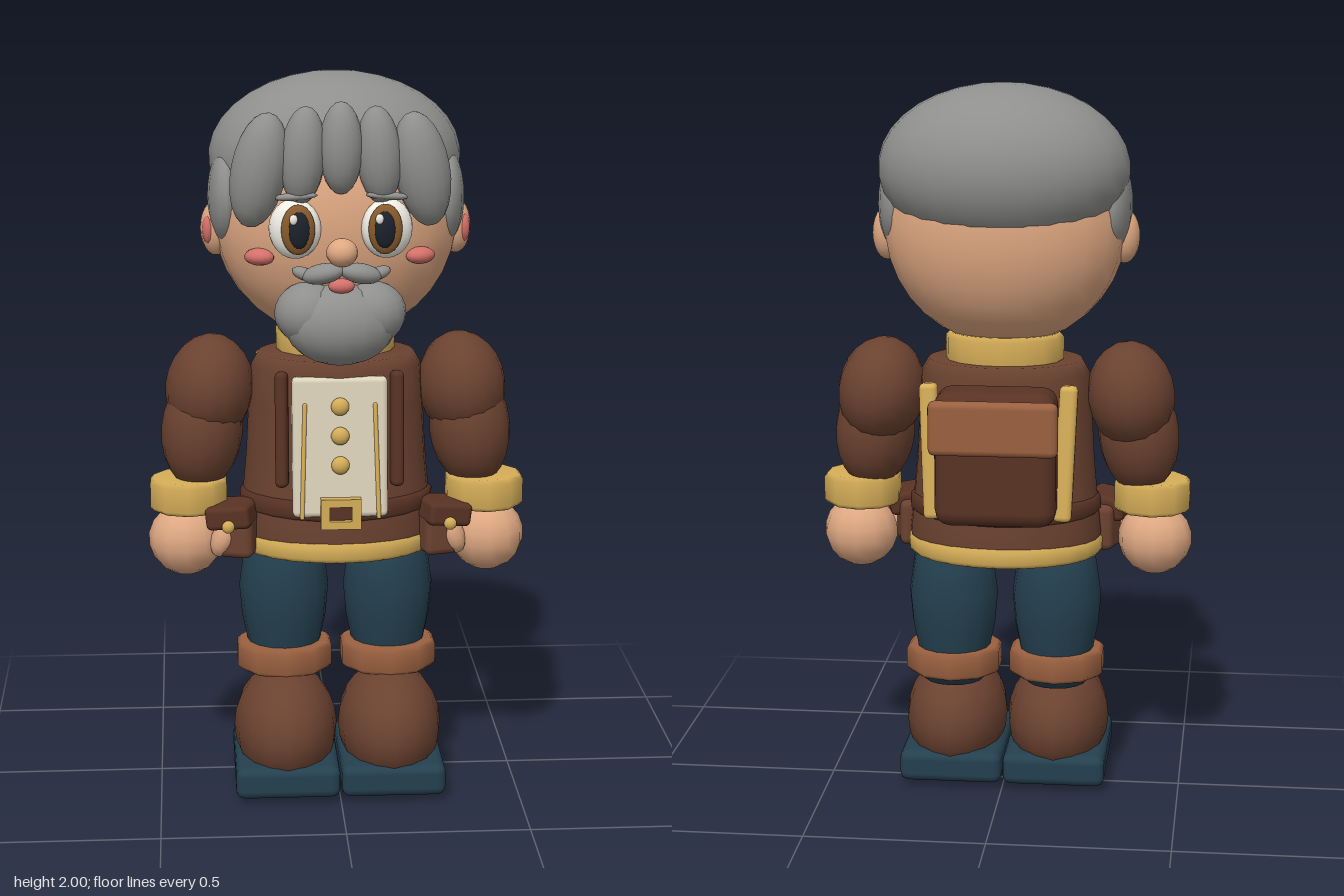
import * as THREE from 'three';
import { RoundedBoxGeometry } from 'three/addons/geometries/RoundedBoxGeometry.js';

const mat = (color) => new THREE.MeshStandardMaterial({ color });
const M = {
  skin: mat(0xdfa882), hair: mat(0x8f8f8d), brown: mat(0x6b4230), dark: mat(0x593324),
  tan: mat(0x9a6040), gold: mat(0xd6ae58), blue: mat(0x24404f), cream: mat(0xdcd3bb),
  pink: mat(0xd4706a), white: mat(0xf2efe6), iris: mat(0x8a5c2c), pupil: mat(0x1c222c),
};

export function createModel() {
  const model = new THREE.Group();

  const add = (name, geo, m, p, rot = [0, 0, 0]) => {
    const mesh = new THREE.Mesh(geo, M[m]);
    mesh.name = name;
    mesh.position.set(...p);
    mesh.rotation.set(...rot);
    model.add(mesh);
    return mesh;
  };
  // ellipsoid with radii r
  const blob = (name, m, p, r, rot, seg = 16) =>
    add(name, new THREE.SphereGeometry(1, seg, Math.ceil(seg * 0.7)).scale(...r), m, p, rot);
  const box = (name, m, p, s, rot, radius = 0.015) =>
    add(name, new RoundedBoxGeometry(...s, 2, Math.min(radius, Math.min(...s) * 0.45)), m, p, rot);
  // lathe from [radius, y] pairs, flattened along z
  const turned = (name, m, p, pts, depth = 1, seg = 20) =>
    add(name, new THREE.LatheGeometry(pts.map(([x, y]) => new THREE.Vector2(x, y)), seg).scale(1, 1, depth), m, p);
  // closed band with small bevels
  const band = (name, m, p, r, h, depth = 1, seg = 12) => {
    const b = 0.012;
    return turned(name, m, p, [[0, -h / 2], [r - b, -h / 2], [r, -h / 2 + b], [r, h / 2 - b], [r - b, h / 2], [0, h / 2]], depth, seg);
  };

  // Head and hair
  blob('head', 'skin', [0, 1.61, 0.01], [0.335, 0.335, 0.25], undefined, 24);
  blob('hairCap', 'hair', [0, 1.77, -0.03], [0.345, 0.23, 0.258], undefined, 24);
  blob('centreFringe', 'hair', [0, 1.825, 0.25], [0.058, 0.122, 0.06]);
  blob('nose', 'skin', [0, 1.555, 0.292], [0.042, 0.038, 0.042]);
  blob('mouth', 'pink', [0, 1.462, 0.272], [0.035, 0.02, 0.02]);
  blob('beard', 'hair', [0, 1.35, 0.23], [0.15, 0.11, 0.1]);

  // Torso
  turned('tunic', 'brown', [0, 0, 0.02], [
    [0, 0.69], [0.262, 0.69], [0.27, 0.74], [0.262, 0.82], [0.25, 0.95],
    [0.242, 1.1], [0.235, 1.2], [0.215, 1.235], [0, 1.24]], 0.76, 24);
  band('tunicHem', 'gold', [0, 0.708, 0.02], 0.274, 0.055, 0.78, 24);
  band('belt', 'dark', [0, 0.825, 0.02], 0.269, 0.055, 0.78, 24);
  band('collar', 'gold', [0, 1.27, 0], 0.165, 0.085, 0.74, 16);

  // Shirt front, leaning outwards to the belt
  const lean = -0.1;
  const frontZ = (y) => 0.212 + (1.005 - y) * 0.1;
  box('shirtFront', 'cream', [0, 1.005, 0.2], [0.26, 0.385, 0.045], [lean, 0, 0]);
  for (const y of [1.12, 1.04, 0.96]) blob('button', 'gold', [0, y, frontZ(y) + 0.014], [0.025, 0.025, 0.018], undefined, 12);
  const frame = new THREE.Shape();
  frame.moveTo(-0.055, -0.042).lineTo(0.055, -0.042).lineTo(0.055, 0.042).lineTo(-0.055, 0.042);
  const hole = new THREE.Path();
  hole.moveTo(-0.03, -0.02).lineTo(-0.03, 0.02).lineTo(0.03, 0.02).lineTo(0.03, -0.02);
  frame.holes.push(hole);
  add('buckle', new THREE.ExtrudeGeometry(frame, { depth: 0.025, bevelEnabled: false }), 'gold', [0, 0.83, 0.237]);
  box('buckleCentre', 'dark', [0, 0.83, 0.235], [0.08, 0.055, 0.025]);

  // Backpack
  box('backpack', 'dark', [0, 1.01, -0.225], [0.33, 0.375, 0.155], undefined, 0.045);
  box('backpackFlap', 'tan', [0, 1.105, -0.315], [0.35, 0.15, 0.042], undefined, 0.02);

  for (const s of [1, -1]) {
    const side = s > 0 ? 'left' : 'right';
    const part = (n) => side + n;

    // Hair locks, ears
    blob(part('InnerFringe'), 'hair', [s * 0.1, 1.805, 0.243], [0.06, 0.13, 0.06], [0, 0, s * 0.08]);
    blob(part('OuterFringe'), 'hair', [s * 0.215, 1.765, 0.225], [0.075, 0.155, 0.07], [0, s * 0.3, s * 0.2]);
    blob(part('Sideburn'), 'hair', [s * 0.3, 1.665, 0.02], [0.05, 0.13, 0.125]);
    blob(part('Ear'), 'skin', [s * 0.328, 1.58, 0.02], [0.042, 0.075, 0.05]);
    blob(part('InnerEar'), 'pink', [s * 0.348, 1.58, 0.045], [0.018, 0.04, 0.025], undefined, 10);

    // Face
    blob(part('EyeWhite'), 'white', [s * 0.122, 1.612, 0.245], [0.07, 0.08, 0.045], [0, s * 0.15, 0]);
    blob(part('Iris'), 'iris', [s * 0.115, 1.615, 0.282], [0.045, 0.067, 0.018]);
    blob(part('Pupil'), 'pupil', [s * 0.113, 1.615, 0.291], [0.029, 0.05, 0.016]);
    blob(part('EyeGlint'), 'white', [s * 0.113 - 0.015, 1.645, 0.303], [0.011, 0.014, 0.007], undefined, 10);
    blob(part('Brow'), 'hair', [s * 0.122, 1.7, 0.262], [0.06, 0.011, 0.018], [0, s * 0.15, -s * 0.08], 12);
    blob(part('Cheek'), 'pink', [s * 0.215, 1.53, 0.2], [0.043, 0.023, 0.032], [0, s * 0.5, 0], 12);
    blob(part('Moustache'), 'hair', [s * 0.05, 1.498, 0.285], [0.058, 0.027, 0.035], [0, s * 0.2, -s * 0.2]);
    blob(part('MoustacheTip'), 'hair', [s * 0.098, 1.495, 0.268], [0.036, 0.017, 0.022], [0, s * 0.3, s * 0.3], 12);
    blob(part('BeardLobe'), 'hair', [s * 0.085, 1.38, 0.22], [0.092, 0.085, 0.085]);

    // Front trims
    box(part('Brace'), 'dark', [s * 0.157, 1.05, 0.182], [0.034, 0.32, 0.04], [lean * 0.7, s * 0.35, 0]);
    box(part('ShirtTrim'), 'gold', [s * 0.1, 0.97, frontZ(0.97) + 0.008], [0.012, 0.32, 0.014], [lean, 0, s * 0.03]);

    // Hip pouch
    box(part('Pouch'), 'brown', [s * 0.27, 0.745, 0.1], [0.1, 0.13, 0.14], [0, s * 0.3, 0], 0.02);
    box(part('PouchFlap'), 'dark', [s * 0.29, 0.8, 0.12], [0.125, 0.065, 0.14], [0, s * 0.3, -s * 0.12]);
    blob(part('PouchStud'), 'gold', [s * 0.305, 0.78, 0.193], [0.018, 0.018, 0.014], undefined, 10);

    // Arm
    blob(part('Shoulder'), 'brown', [s * 0.35, 1.135, 0.025], [0.122, 0.15, 0.152], [0, 0, s * 0.12]);
    blob(part('Sleeve'), 'brown', [s * 0.372, 1.02, 0.045], [0.113, 0.17, 0.125], [0, 0, s * 0.1]);
    band(part('Cuff'), 'gold', [s * 0.412, 0.845, 0.058], 0.111, 0.09, 1, 10);
    blob(part('Hand'), 'skin', [s * 0.42, 0.715, 0.065], [0.105, 0.103, 0.098], undefined, 12);
    blob(part('Thumb'), 'skin', [s * 0.315, 0.735, 0.13], [0.035, 0.06, 0.04], [0, 0, s * 0.4], 12);

    // Leg and boot
    const x = s * 0.147;
    turned(part('Leg'), 'blue', [x, 0, 0.012], [
      [0, 0.29], [0.085, 0.3], [0.1, 0.38], [0.118, 0.47], [0.126, 0.56], [0.112, 0.66], [0.08, 0.73], [0, 0.76]], 1, 16);
    band(part('BootCuff'), 'tan', [x, 0.362, 0.022], 0.139, 0.077, 1, 10);
    blob(part('Boot'), 'brown', [x, 0.17, 0.09], [0.145, 0.168, 0.218]);
    box(part('Sole'), 'blue', [x, 0.063, 0.093], [0.29, 0.09, 0.405], undefined, 0.025);

    // Backpack strap
    box(part('PackStrap'), 'gold', [s * 0.185, 1.01, -0.18], [0.05, 0.375, 0.05], [0.08, 0, -s * 0.04]);
  }
  return model;
}
